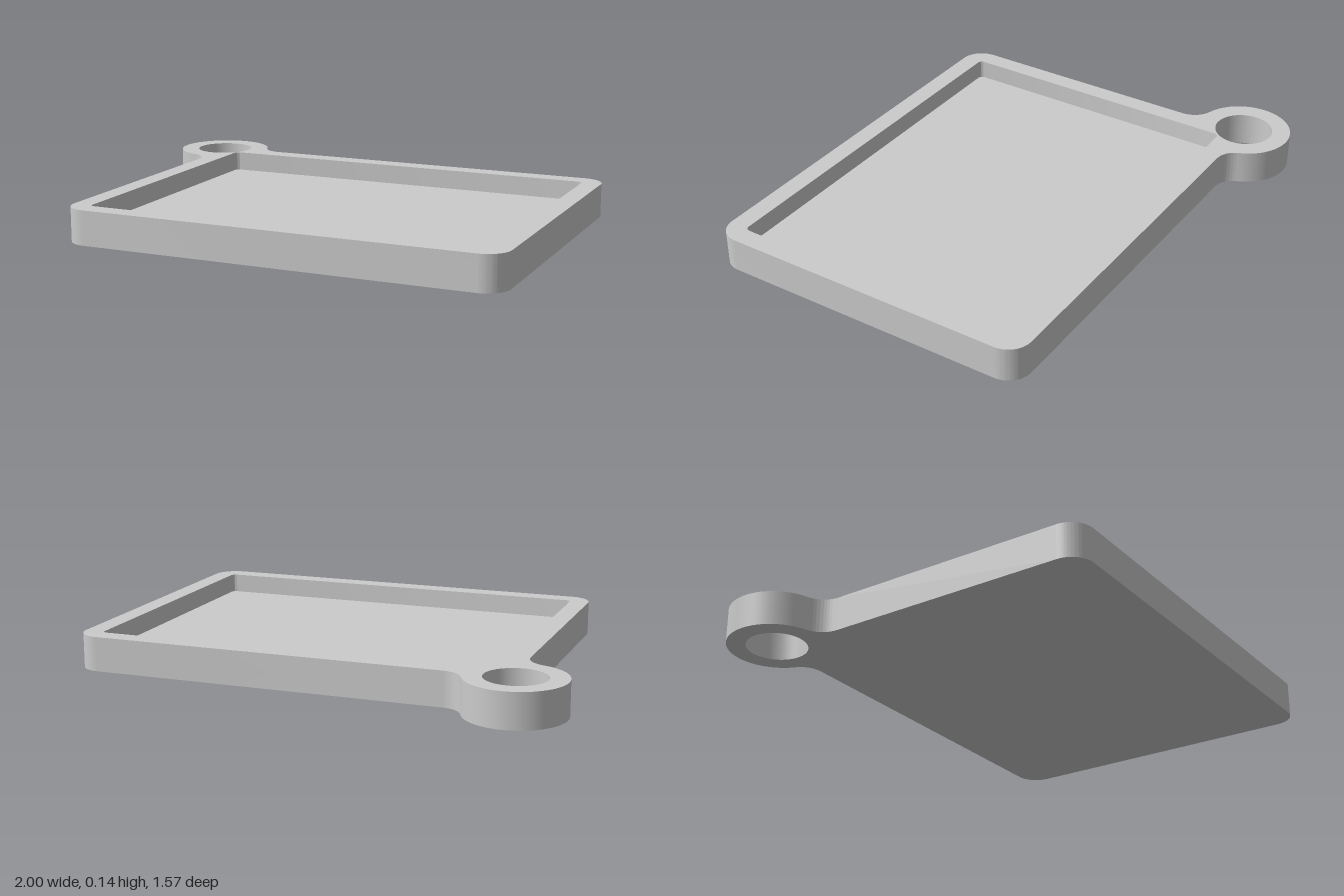
import * as THREE from 'three';
import { toCreasedNormals } from 'three/addons/utils/BufferGeometryUtils.js';

const HEIGHT = 0.14, FLOOR = 0.06;
// Plan dimensions; plan y points to the back (-z)
const L = -0.784, R = 1, FRONT = -0.785, BACK = 0.6, CORNER = 0.095;
const ring = { x: -0.803, y: 0.59, r: 0.197, hole: 0.121 };

function roundedRect(target, x0, y0, x1, y1, r) {
  target.absarc(x0 + r, y0 + r, r, Math.PI, 1.5 * Math.PI);
  target.absarc(x1 - r, y0 + r, r, 1.5 * Math.PI, 2 * Math.PI);
  target.absarc(x1 - r, y1 - r, r, 0, 0.5 * Math.PI);
  target.absarc(x0 + r, y1 - r, r, 0.5 * Math.PI, Math.PI);
  target.closePath();
  return target;
}

const recess = (target) => roundedRect(target, -0.705, -0.705, 0.92, 0.52, 0.02);

// Plate outline running into the ring through two tangent fillets
function outline() {
  const s = new THREE.Shape();
  const rb = 0.091, rl = 0.1;
  const by = BACK + rb;
  const bx = ring.x + Math.sqrt((ring.r + rb) ** 2 - (by - ring.y) ** 2);
  const lx = L - rl;
  const ly = ring.y - Math.sqrt((ring.r + rl) ** 2 - (lx - ring.x) ** 2);
  const aBack = Math.atan2(by - ring.y, bx - ring.x);
  const aLeft = Math.atan2(ly - ring.y, lx - ring.x) + 2 * Math.PI;

  s.absarc(L + CORNER, FRONT + CORNER, CORNER, Math.PI, 1.5 * Math.PI);
  s.absarc(R - CORNER, FRONT + CORNER, CORNER, 1.5 * Math.PI, 2 * Math.PI);
  s.absarc(R - CORNER, BACK - CORNER, CORNER, 0, 0.5 * Math.PI);
  s.absarc(bx, by, rb, 1.5 * Math.PI, aBack + Math.PI, true);
  s.absarc(ring.x, ring.y, ring.r, aBack, aLeft);
  s.absarc(lx, ly, rl, aLeft - Math.PI, 0, true);
  s.closePath();
  return s;
}

function slab(name, shape, depth, material) {
  const geo = new THREE.ExtrudeGeometry(shape, { depth, bevelEnabled: false, curveSegments: 32 });
  geo.rotateX(-Math.PI / 2);
  const mesh = new THREE.Mesh(toCreasedNormals(geo, 0.5), material);
  mesh.name = name;
  return mesh;
}

export function createModel() {
  const group = new THREE.Group();
  group.name = 'trayTag';
  const material = new THREE.MeshStandardMaterial({ color: 0xcccccc });

  // Raised frame with the hanging ring
  const frame = outline();
  const hole = new THREE.Path();
  hole.absarc(ring.x, ring.y, ring.hole, 0, 2 * Math.PI, true);
  frame.holes.push(hole, recess(new THREE.Path()));
  group.add(slab('frameWithRing', frame, HEIGHT, material));

  // Floor of the recess
  group.add(slab('trayFloor', recess(new THREE.Shape()), FLOOR, material));
  return group;
}
